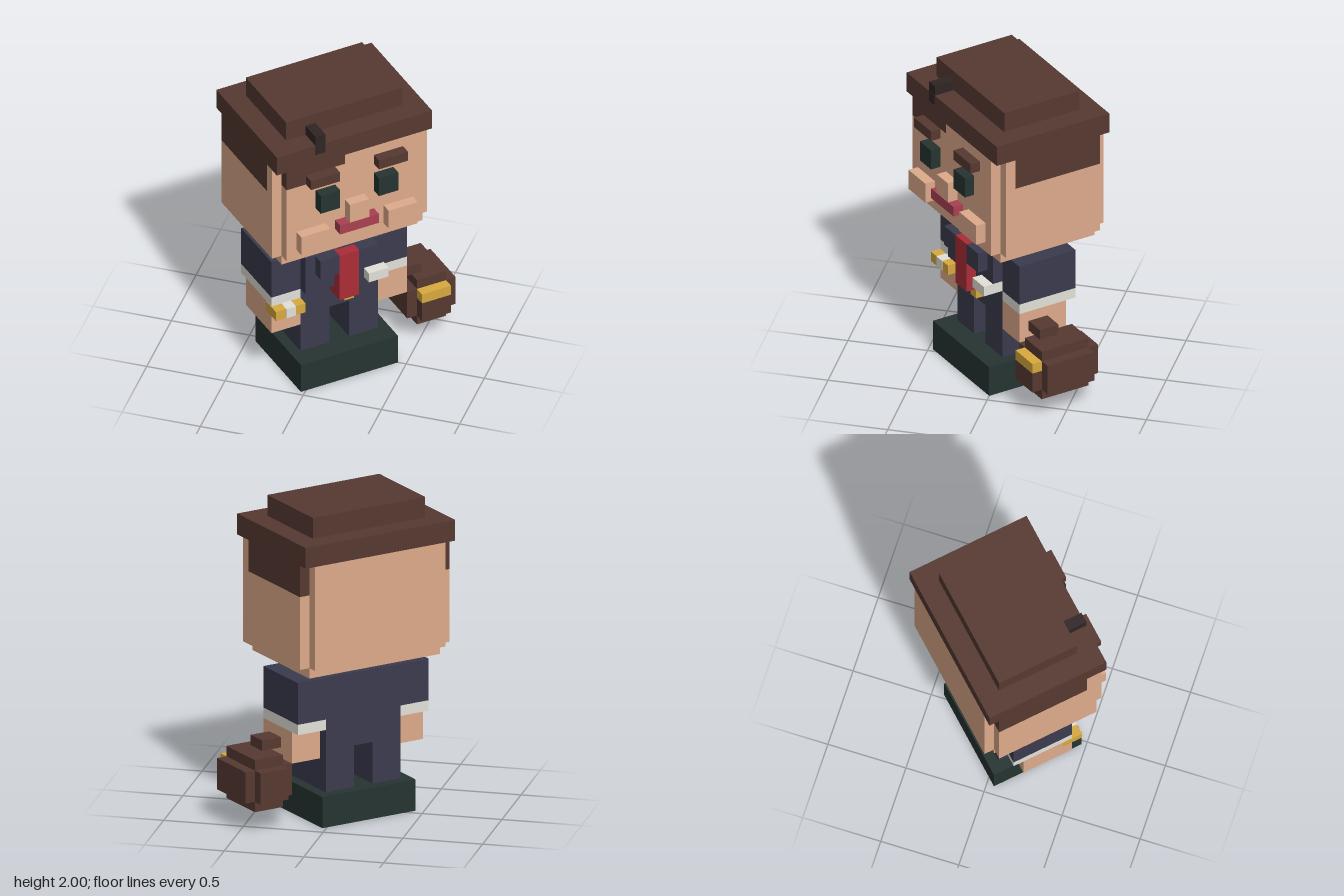
import * as THREE from 'three';

const colour = (name, hex) => {
  const m = new THREE.MeshStandardMaterial({ color: hex });
  m.name = name;
  return m;
};

export function createModel() {
  const skin = colour('skin', 0xe0ac8c);
  const hair = colour('brown hair and leather', 0x573a32);
  const curl = colour('dark hair', 0x302624);
  const navy = colour('navy suit', 0x3b3b4f);
  const dark = colour('dark green', 0x263432);
  const gold = colour('gold', 0xd9aa3f);
  const red = colour('tie red', 0xac2d37);
  const lip = colour('lip red', 0xab4052);
  const white = colour('off white', 0xe4e2da);

  const model = new THREE.Group();
  model.name = 'blockyBusinessman';

  // The figure is laid out in whole blocks, 30 tall, facing its own +z
  const figure = new THREE.Group();
  figure.name = 'figure';
  const unit = 1 / 15;
  figure.scale.setScalar(unit);
  figure.rotation.y = Math.PI / 4;
  figure.position.x = -0.5 * unit * Math.SQRT1_2;
  model.add(figure);

  const part = (name) => {
    const g = new THREE.Group();
    g.name = name;
    figure.add(g);
    return g;
  };
  // Block between two corners: x range, y range, z range
  const block = (parent, name, mat, [x0, x1], [y0, y1], [z0, z1]) => {
    const geo = new THREE.BoxGeometry(x1 - x0, y1 - y0, z1 - z0);
    const mesh = new THREE.Mesh(geo, mat);
    mesh.position.set((x0 + x1) / 2, (y0 + y1) / 2, (z0 + z1) / 2);
    mesh.name = name;
    parent.add(mesh);
  };
  // The same block on both sides
  const pair = (parent, name, mat, [x0, x1], y, z) => {
    block(parent, name + 'Left', mat, [x0, x1], y, z);
    block(parent, name + 'Right', mat, [-x1, -x0], y, z);
  };

  // Head
  const head = part('head');
  block(head, 'neck', skin, [-2, 2], [14, 15], [-2, 2]);
  block(head, 'jaw', skin, [-7, 7], [15, 16], [-5, 5]);
  block(head, 'skull', skin, [-7, 7], [16, 26], [-6, 5]);
  block(head, 'face', skin, [-7, 7], [16, 24], [5, 6]);
  block(head, 'foreheadMiddle', skin, [-3, -1], [24, 25], [5, 6]);
  block(head, 'forehead', skin, [-1, 7], [24, 26], [5, 6]);
  pair(head, 'cheekSide', skin, [7, 8], [16, 23], [-5, 5]);
  pair(head, 'temple', skin, [7, 8], [23, 26], [4, 5]);

  // Hair
  const hairdo = part('hair');
  block(hairdo, 'fringe', hair, [-7, -3], [24, 26], [5, 6]);
  block(hairdo, 'fringeTip', hair, [-3, -1], [25, 26], [5, 6]);
  pair(hairdo, 'sideHair', hair, [7, 8], [23, 26], [-5, 4]);
  block(hairdo, 'hairSlab', hair, [-8, 8], [26, 28], [-6, 6]);
  block(hairdo, 'hairTop', hair, [-6, 6], [28, 30], [-4, 4]);
  block(hairdo, 'curl', curl, [-4, -3], [28, 29], [4, 6]);
  block(hairdo, 'curlTip', curl, [-4, -3], [27, 28], [5.95, 6.04]);

  // Facial features
  const face = part('features');
  pair(face, 'eye', dark, [2, 4], [21, 23], [6, 7]);
  pair(face, 'eyebrow', hair, [2, 5], [24, 25], [6, 7]);
  pair(face, 'cheek', skin, [3, 6], [17, 19], [6, 7]);
  block(face, 'nose', skin, [-1, 1], [19, 21], [6, 7]);
  block(face, 'mouth', lip, [-2, 2], [18, 19], [6, 7]);

  // Suit
  const suit = part('suit');
  block(suit, 'torso', navy, [-4, 4], [7, 14], [-3, 3]);
  pair(suit, 'leg', navy, [1, 4], [3, 7], [-3, 3]);
  pair(suit, 'sleeve', navy, [4, 7], [10, 14], [-3, 3]);
  pair(suit, 'cuff', white, [4, 7], [9, 10], [-3, 3]);
  block(suit, 'jacketFront', navy, [-4, 4], [10, 14], [3, 4]);
  pair(suit, 'lapel', navy, [1, 3], [12, 14], [4, 5]);
  block(suit, 'tie', red, [-1, 1], [9, 14], [3, 5]);
  block(suit, 'handkerchief', white, [2, 4.04], [10, 11], [3, 5]);
  block(suit, 'buckle', gold, [0, 1], [8, 9], [3, 4]);
  block(suit, 'shoes', dark, [-5, 5], [0, 3], [-4, 5]);

  // Hands and watch
  const hands = part('hands');
  pair(hands, 'hand', skin, [4, 7], [6, 9], [-2, 3]);
  block(hands, 'watchBand', gold, [-7.04, -4], [8, 9], [2, 4]);
  block(hands, 'watchFace', white, [-6, -5], [8, 9.03], [3, 4.04]);

  // Bag beside the left hand
  const bag = part('bag');
  block(bag, 'bagWide', hair, [7, 12], [3, 6], [-2, 3]);
  block(bag, 'bagTall', hair, [8, 11], [2, 7], [-2, 3]);
  block(bag, 'bagBack', hair, [8, 11], [3, 6], [-3, -2]);
  block(bag, 'bagFront', hair, [8, 11], [3, 5], [3, 4]);
  block(bag, 'bagClasp', gold, [8, 11], [5, 6], [3, 4]);
  block(bag, 'bagHandle', hair, [7, 9], [7, 8], [0, 2]);

  return model;
}
